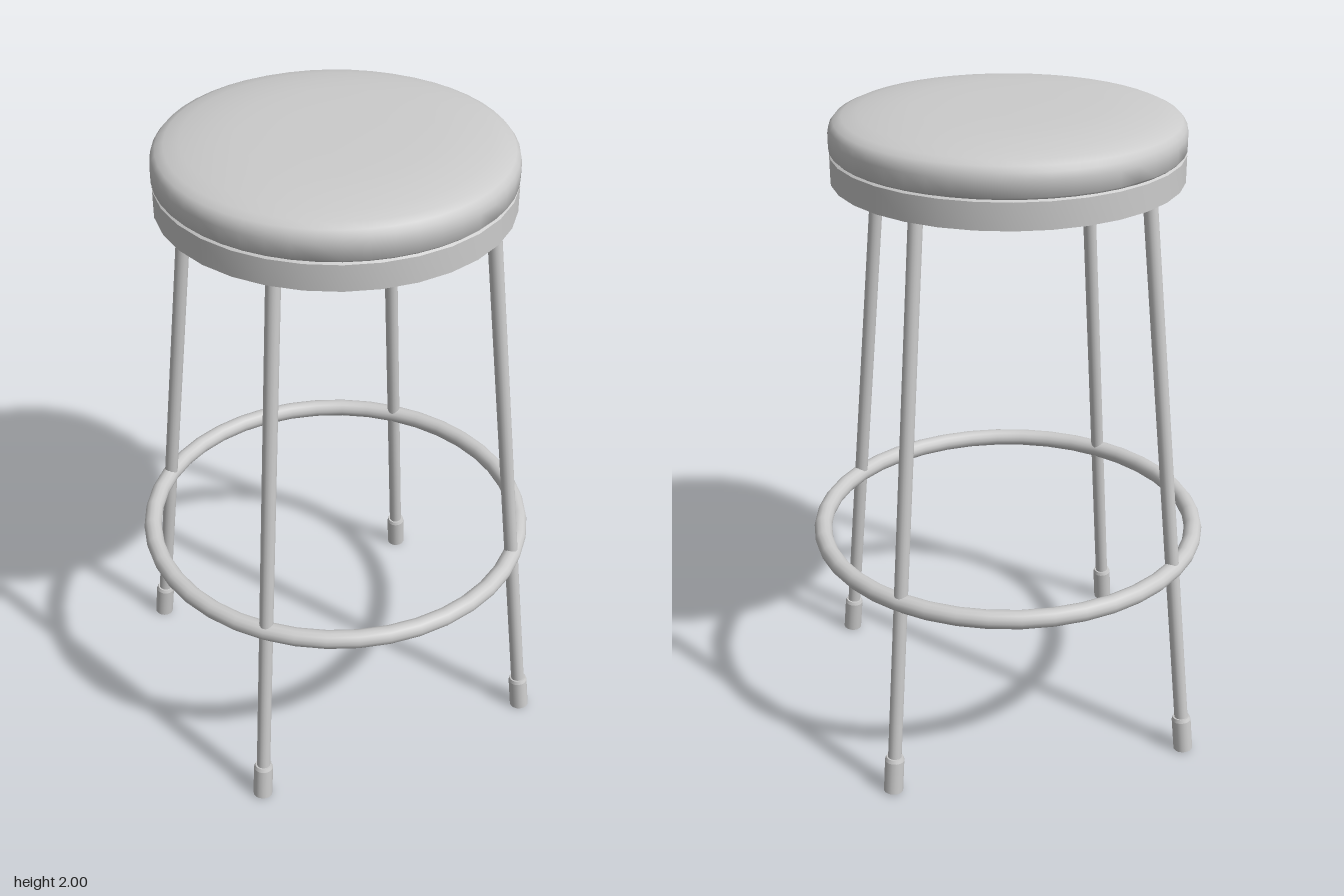
import * as THREE from 'three';
import { toCreasedNormals } from 'three/addons/utils/BufferGeometryUtils.js';

const material = new THREE.MeshStandardMaterial({ color: 0xcccccc });

function part(name, geometry) {
  const mesh = new THREE.Mesh(geometry, material);
  mesh.name = name;
  return mesh;
}

// Solid of revolution from [radius, height] pairs, bottom to top
function turned(profile, segments, crease) {
  const points = profile.map(([r, y]) => new THREE.Vector2(r, y));
  return toCreasedNormals(new THREE.LatheGeometry(points, segments), crease);
}

// Round bar between two points, with its own end radii
function bar(name, from, to, radiusFrom, radiusTo, sides) {
  const axis = to.clone().sub(from);
  const mesh = part(name, new THREE.CylinderGeometry(radiusTo, radiusFrom, axis.length(), sides));
  mesh.position.copy(from).addScaledVector(axis, 0.5);
  mesh.quaternion.setFromUnitVectors(new THREE.Vector3(0, 1, 0), axis.normalize());
  return mesh;
}

export function createModel() {
  const stool = new THREE.Group();
  stool.name = 'stool';

  // Seat pan: hoop with a shallow recess underneath
  stool.add(part('seatPan', turned([
    [0, 1.835], [0.425, 1.835], [0.425, 1.79], [0.515, 1.79], [0.515, 1.868], [0.508, 1.873], [0, 1.873],
  ], 32, 0.5)));

  // Padded cushion with a softly domed top
  stool.add(part('cushion', turned([
    [0, 1.873], [0.508, 1.873], [0.515, 1.88], [0.515, 1.925], [0.511, 1.945], [0.499, 1.96],
    [0.475, 1.971], [0.43, 1.981], [0.36, 1.991], [0.28, 1.997], [0.15, 1.999], [0, 2],
  ], 48, 0.9)));

  // Foot ring passing through the legs
  const footRing = part('footRing', new THREE.TorusGeometry(0.592, 0.028, 14, 40));
  footRing.rotation.x = Math.PI / 2;
  footRing.position.y = 0.643;
  stool.add(footRing);

  // Four splayed legs with rubber tips
  const top = new THREE.Vector3(0.459, 1.837, 0);
  const bottom = new THREE.Vector3(0.661, 0.004, 0);
  const along = (t) => bottom.clone().lerp(top, t);
  for (let i = 0; i < 4; i++) {
    const leg = new THREE.Group();
    leg.name = 'leg' + (i + 1);
    leg.add(bar('legTube', along(0.02), top, 0.021, 0.021, 16));
    leg.add(bar('legTip', bottom, along(0.058), 0.03, 0.03, 16));
    leg.add(bar('legTipShoulder', along(0.058), along(0.064), 0.03, 0.026, 16));
    leg.rotation.y = i * Math.PI / 2;
    stool.add(leg);
  }
  return stool;
}
